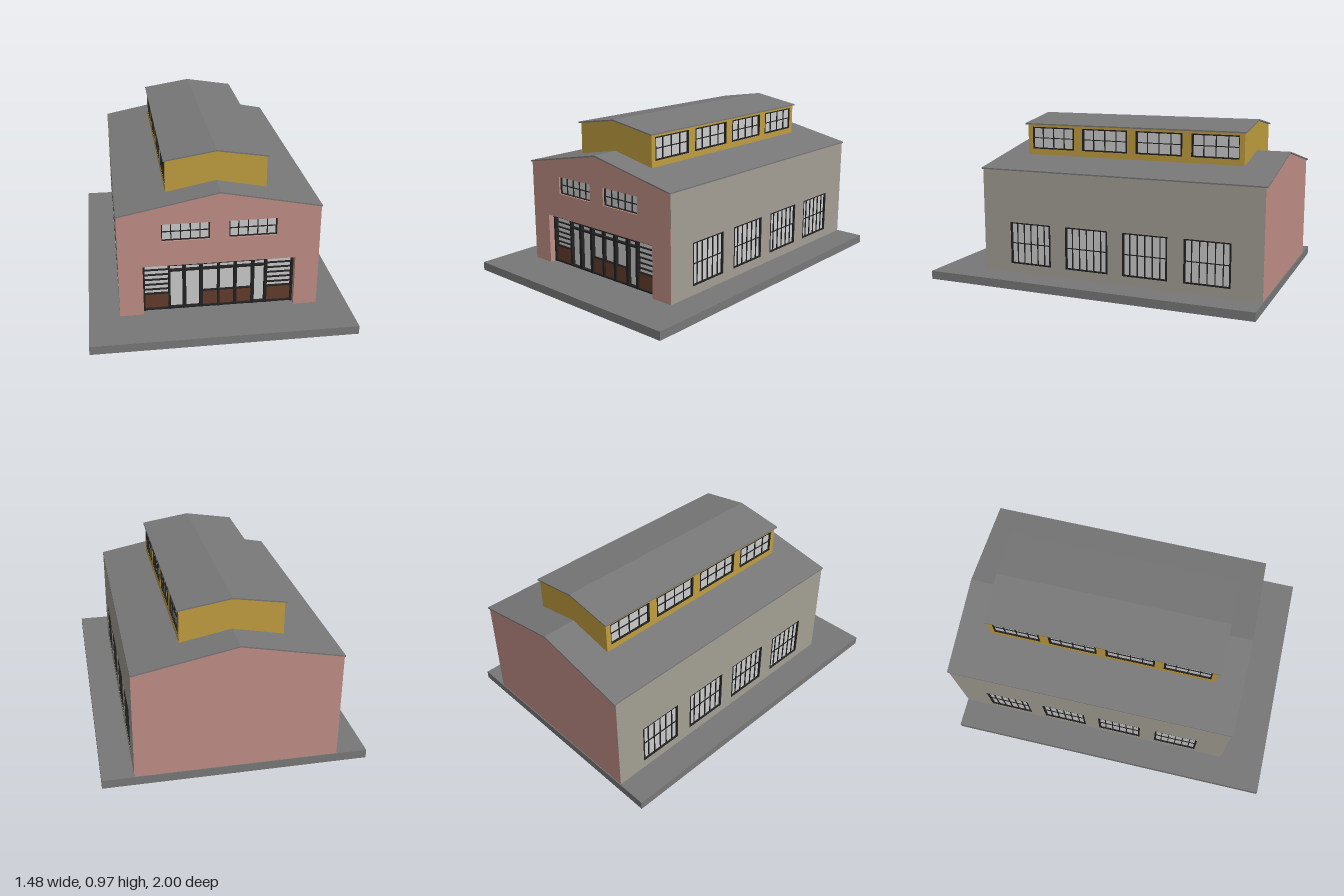
import * as THREE from 'three';

const mat = (color) => new THREE.MeshStandardMaterial({ color, flatShading: true });
const M = {
  glass: mat(0xcccccc), frame: mat(0x222222), brick: mat(0xc08f86), side: mat(0xa39f94),
  ochre: mat(0xc09d3f), roof: mat(0x787878), wood: mat(0x633c2c),
};

// Box given by its extents
function box(parent, name, material, x0, x1, y0, y1, z0, z1) {
  const m = new THREE.Mesh(new THREE.BoxGeometry(x1 - x0, y1 - y0, z1 - z0), material);
  m.position.set((x0 + x1) / 2, (y0 + y1) / 2, (z0 + z1) / 2);
  m.name = name;
  parent.add(m);
  return m;
}

// Flat outline with rectangular holes [x0, x1, y0, y1], extruded from z0 to z1
function panel(parent, name, material, points, holes, z0, z1) {
  const shape = new THREE.Shape(points.map(([x, y]) => new THREE.Vector2(x, y)));
  for (const [a, b, c, d] of holes) {
    shape.holes.push(new THREE.Path([[a, c], [a, d], [b, d], [b, c]].map(([x, y]) => new THREE.Vector2(x, y))));
  }
  const m = new THREE.Mesh(new THREE.ExtrudeGeometry(shape, { depth: z1 - z0, bevelEnabled: false }), material);
  m.position.z = z0;
  m.name = name;
  parent.add(m);
  return m;
}

// Glazed window facing +z: pane, outer frame and glazing bars
function addWindow(parent, name, [x0, x1, y0, y1], z, cols, rows, edge) {
  const g = new THREE.Group();
  g.name = name;
  const bar = 0.005;
  box(g, 'pane', M.glass, x0, x1, y0, y1, z - 0.02, z - 0.01);
  for (const [a, b] of [[x0, x0 + edge], [x1 - edge, x1]]) box(g, 'windowStile', M.frame, a, b, y0, y1, z - 0.015, z);
  for (const [a, b] of [[y0, y0 + edge * 0.7], [y1 - edge * 0.7, y1]]) box(g, 'windowRail', M.frame, x0, x1, a, b, z - 0.015, z);
  for (let i = 1; i < cols; i++) {
    const x = x0 + (x1 - x0) * i / cols;
    box(g, 'glazingBar', M.frame, x - bar / 2, x + bar / 2, y0, y1, z - 0.012, z - 0.004);
  }
  for (let i = 1; i < rows; i++) {
    const y = y0 + (y1 - y0) * i / rows;
    box(g, 'glazingBar', M.frame, x0, x1, y - bar / 2, y + bar / 2, z - 0.012, z - 0.005);
  }
  parent.add(g);
}

// Gable end outline and folded roof sheet
const gable = (w, base, eave, ridge) => [[-w, base], [w, base], [w, eave], [0, ridge], [-w, eave]];
const roofSheet = (w, eave, ridge, t) =>
  [[-w, eave - t], [0, ridge - t], [w, eave - t], [w, eave], [0, ridge], [-w, eave]];

// Long walls on both sides, each with a row of windows
function sideWalls(parent, name, material, o) {
  for (const s of [1, -1]) {
    const g = new THREE.Group();
    g.name = s > 0 ? name + 'Left' : name + 'Right';
    g.rotation.y = s * Math.PI / 2;
    const rects = o.windows.map(([a, b]) => [Math.min(-s * a, -s * b), Math.max(-s * a, -s * b), o.sill, o.head]);
    const [u0, u1] = [-s * o.z0, -s * o.z1].sort((a, b) => a - b);
    panel(g, name, material, [[u0, o.y0], [u1, o.y0], [u1, o.y1], [u0, o.y1]], rects, o.x - 0.03, o.x);
    for (const r of rects) addWindow(g, name + 'Window', r, o.x - 0.001, o.cols, 2, 0.011);
    parent.add(g);
  }
}

// Glazed entrance screen standing in the front opening
function entrance(parent) {
  const g = new THREE.Group();
  g.name = 'entrance';
  const z = 0.665;
  const part = (name, m, x0, x1, y0, y1, d) => box(g, name, m, x0, x1, y0, y1, z - 0.005, z + d);
  for (const s of [-1, 1]) {
    part('jamb', M.frame, s * 0.425 - 0.007, s * 0.425 + 0.007, 0.05, 0.355, 0.025);
    for (let i = 0; i < 6; i++) {
      const y = 0.175 + i * 0.031;
      const [a, b] = s > 0 ? [0.275, 0.42] : [-0.42, -0.28];
      part('louvre', M.frame, a, b, y, y + 0.006, 0.012);
    }
  }
  part('head', M.frame, -0.43, 0.43, 0.343, 0.357, 0.025);
  part('threshold', M.frame, -0.43, 0.43, 0.048, 0.06, 0.02);
  part('transom', M.frame, -0.28, 0.275, 0.291, 0.301, 0.02);
  part('transomBar', M.frame, -0.28, 0.275, 0.323, 0.329, 0.012);
  // Posts between the bays
  for (const [x, w] of [[-0.28, 0.012], [-0.195, 0.02], [-0.1, 0.02], [0, 0.014], [0.096, 0.018], [0.197, 0.018], [0.272, 0.016]]) {
    part('post', M.frame, x - w / 2, x + w / 2, 0.05, 0.35, 0.022);
  }
  // Timber panels below the glazing
  for (const [a, b] of [[-0.42, -0.28], [-0.1, 0], [0, 0.096], [0.096, 0.197], [0.272, 0.42]]) {
    part('kickPanel', M.wood, a, b, 0.055, 0.148, 0.01);
    part('panelRail', M.frame, a, b, 0.148, 0.154, 0.014);
  }
  parent.add(g);
}

export function createModel() {
  const model = new THREE.Group();
  model.name = 'hall';

  // Ground slab, footing and inner core
  box(model, 'slab', M.roof, -0.74, 0.74, 0, 0.05, -0.995, 1);
  box(model, 'footing', M.brick, -0.565, 0.565, -0.001, 0.02, -0.99, 0.725);
  box(model, 'core', M.glass, -0.43, 0.43, -0.002, 0.37, -0.86, 0.665);

  // Front wall with the entrance notch and two upper windows
  const upper = [[-0.323, -0.055, 0.505, 0.608], [0.052, 0.32, 0.505, 0.608]];
  panel(model, 'frontWall', M.brick, [
    [-0.5645, 0.045], [-0.43, 0.045], [-0.43, 0.355], [0.43, 0.355], [0.43, 0.045], [0.5645, 0.045],
    [0.5645, 0.668], [0, 0.781], [-0.5645, 0.668],
  ], upper, 0.665, 0.7255);
  for (const r of upper) addWindow(model, 'frontWindow', r, 0.715, 5, 2, 0.006);
  entrance(model);

  // Back wall and long walls
  panel(model, 'backWall', M.brick, gable(0.5645, 0.045, 0.668, 0.781), [], -0.9905, -0.95);
  sideWalls(model, 'sideWall', M.side, {
    x: 0.565, z0: -0.99, z1: 0.725, y0: 0.045, y1: 0.668, sill: 0.102, head: 0.355, cols: 6,
    windows: [[0.547, 0.279], [0.183, -0.087], [-0.177, -0.449], [-0.543, -0.813]],
  });
  panel(model, 'mainRoof', M.roof, roofSheet(0.567, 0.674, 0.787, 0.008), [], -1, 0.735);

  // Raised clerestory along the ridge
  const top = gable(0.2845, 0.715, 0.915, 0.961);
  panel(model, 'clerestoryFront', M.ochre, top, [], 0.54, 0.5705);
  panel(model, 'clerestoryBack', M.ochre, top, [], -0.8005, -0.77);
  sideWalls(model, 'clerestoryWall', M.ochre, {
    x: 0.285, z0: -0.8, z1: 0.57, y0: 0.715, y1: 0.915, sill: 0.765, head: 0.9, cols: 4,
    windows: [[0.543, 0.257], [0.203, -0.091], [-0.145, -0.434], [-0.488, -0.777]],
  });
  panel(model, 'clerestoryRoof', M.roof, roofSheet(0.295, 0.922, 0.969, 0.008), [], -0.81, 0.585);
  return model;
}
